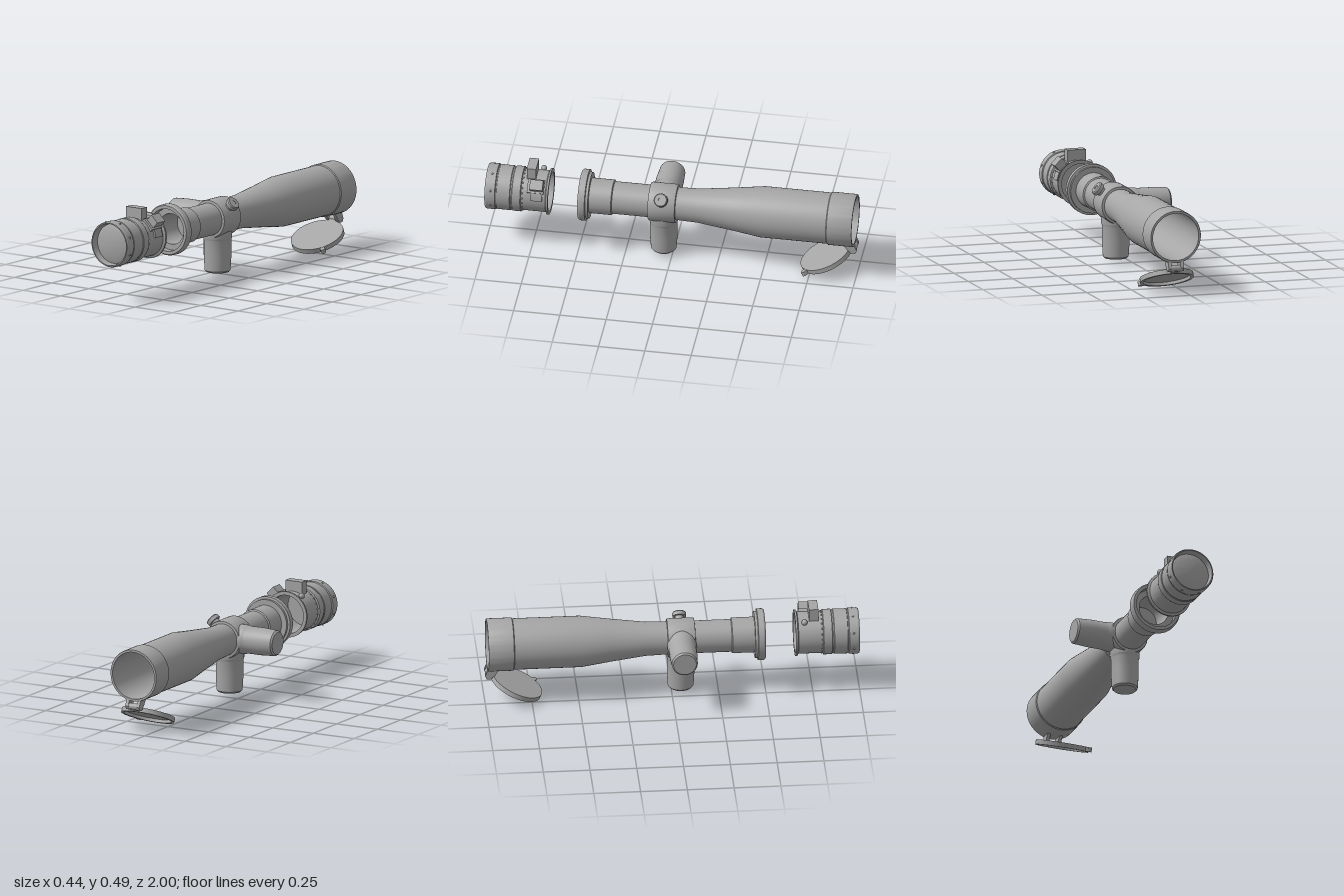
import * as THREE from 'three';
import { toCreasedNormals } from 'three/addons/utils/BufferGeometryUtils.js';

const grey = new THREE.MeshStandardMaterial({ color: 0xa6a6a6, side: THREE.DoubleSide });
grey.name = 'gunmetal grey';

// Turned part around y; profile is a list of [radius, height]
function turned(profile, sides = 48) {
  const pts = profile.map(([r, h]) => new THREE.Vector2(r, h));
  return toCreasedNormals(new THREE.LatheGeometry(pts, sides), 0.4);
}

export function createModel() {
  const model = new THREE.Group();
  model.name = 'sightingTelescope';

  // Everything is placed relative to the optical axis
  const axis = new THREE.Group();
  axis.name = 'opticalAssembly';
  axis.position.set(0.077, 0.32, 0);
  model.add(axis);

  const add = (name, geo, x = 0, y = 0, z = 0, parent = axis) => {
    const mesh = new THREE.Mesh(geo, grey);
    mesh.name = name;
    mesh.position.set(x, y, z);
    parent.add(mesh);
    return mesh;
  };
  const addBox = (name, w, h, d, x, y, z, parent) =>
    add(name, new THREE.BoxGeometry(w, h, d), x, y, z, parent);
  const alongZ = (profile) => turned(profile).rotateX(Math.PI / 2);

  // Hollow main tube with objective bell, taper and front flange
  add('mainTube', alongZ([
    [0.128, -0.985], [0.14, -0.985], [0.142, -0.98], [0.142, -0.85], [0.137, -0.846],
    [0.137, -0.486], [0.115, -0.33], [0.091, -0.14], [0.087, 0], [0.087, 0.318],
    [0.095, 0.322], [0.095, 0.442], [0.125, 0.442], [0.125, 0.456], [0.138, 0.458],
    [0.138, 0.488], [0.132, 0.497], [0.115, 0.497], [0.115, 0.455], [0.083, 0.455],
    [0.079, 0.3], [0.079, 0], [0.082, -0.14], [0.127, -0.486], [0.128, -0.985],
  ]));
  add('innerObjectiveLens', new THREE.CircleGeometry(0.108, 48), 0, 0, -0.3);
  add('innerEyeLens', new THREE.CircleGeometry(0.08, 48), 0, 0, 0.3);

  // Saddle sleeve around the tube
  add('turretSaddle', alongZ([
    [0.085, -0.025], [0.101, -0.023], [0.104, -0.015], [0.104, 0.115], [0.101, 0.123], [0.085, 0.125],
  ]), 0, 0, 0);

  // Two matching adjustment turrets: downwards and to the right
  const turret = [
    [0.078, 0.05], [0.078, 0.108], [0.074, 0.118], [0.074, 0.205], [0.069, 0.286],
    [0.061, 0.295], [0, 0.295],
  ];
  add('elevationTurret', turned(turret, 32), 0, 0, 0.05).rotation.z = Math.PI;
  add('windageTurret', turned(turret, 32), 0, 0, 0.05).rotation.z = Math.PI / 2;

  // Locking knob on the upper left of the saddle
  add('lockingKnob', turned([
    [0.024, 0.08], [0.024, 0.118], [0.037, 0.119], [0.037, 0.138], [0.032, 0.144],
    [0.012, 0.144], [0.012, 0.141], [0, 0.141],
  ], 24), 0, 0, 0.05).rotation.z = -0.88;

  // Detached eyepiece: hollow at the back, lens recessed at the front
  add('eyepieceHousing', alongZ([
    [0.105, 0.658], [0.125, 0.658], [0.125, 0.668], [0.112, 0.674], [0.112, 0.805],
    [0.121, 0.808], [0.121, 0.852], [0.117, 0.855], [0.117, 0.862], [0.12, 0.865],
    [0.12, 0.936], [0.117, 0.938], [0.117, 0.942], [0.123, 0.945], [0.123, 0.992],
    [0.119, 1], [0.113, 1], [0.11, 0.985], [0.108, 0.965], [0.104, 0.955],
    [0.104, 0.7], [0.105, 0.658],
  ]));
  add('eyepieceLens', alongZ([
    [0.108, 0.962], [0.095, 0.967], [0.07, 0.973], [0.035, 0.978], [0, 0.98],
  ]));
  add('eyepieceInnerLens', new THREE.CircleGeometry(0.105, 48), 0, 0, 0.86);

  // Small grip studs around the adjusting ring and the front rim
  [[24, 0.112, 0.8, 0.005], [8, 0.122, 0.968, 0.006]].forEach(([count, r, z, size], ring) => {
    for (let i = 0; i < count; i++) {
      const a = ((i + 0.5) / count) * Math.PI * 2;
      add(ring ? 'rimScrew' : 'gripStud', new THREE.SphereGeometry(size, 8, 6),
        Math.cos(a) * r, Math.sin(a) * r, z);
    }
  });

  // Mounting block on top and angled block beside it
  addBox('topBlock', 0.102, 0.07, 0.05, -0.003, 0.133, 0.757);
  const side = new THREE.Group();
  side.name = 'angledMount';
  side.rotation.z = -Math.PI / 4;
  axis.add(side);
  addBox('angledBlock', 0.056, 0.062, 0.07, 0, 0.132, 0.72, side);
  addBox('angledFoot', 0.075, 0.02, 0.09, 0, 0.112, 0.727, side);

  // Curved index plate wrapping down from the angled block
  const arc = new THREE.Shape();
  arc.absarc(0, 0, 0.122, 0.1, 0.75, false);
  arc.absarc(0, 0, 0.108, 0.75, 0.1, true);
  add('indexPlate', new THREE.ExtrudeGeometry(arc, { depth: 0.06, bevelEnabled: false, curveSegments: 10 }),
    0, 0, 0.69);
  add('releaseButton', new THREE.SphereGeometry(0.016, 16, 12), -0.067, 0.1, 0.707);

  // Flip-open lens cover hanging below the objective
  const cover = new THREE.Group();
  cover.name = 'lensCover';
  cover.position.set(0, -0.247, -0.827);
  cover.rotation.x = 0.42;
  axis.add(cover);
  add('coverDisc', turned([
    [0, 0.004], [0.128, 0.004], [0.128, -0.013], [0.144, -0.013], [0.144, 0.013], [0, 0.013],
  ]), 0, 0, 0, cover);
  const tab = new THREE.Group();
  tab.name = 'coverTab';
  tab.rotation.y = 0.8;
  cover.add(tab);
  addBox('tabNeck', 0.026, 0.024, 0.025, 0, 0, 0.148, tab);
  add('tabTip', new THREE.CylinderGeometry(0.013, 0.013, 0.024, 16), 0, 0, 0.16, tab);
  addBox('coverArm', 0.045, 0.022, 0.04, 0, 0.002, -0.152, cover);

  // Hinge: barrel with two lugs fixed to the bell
  const barrel = new THREE.CylinderGeometry(0.017, 0.017, 0.086, 20).rotateZ(Math.PI / 2);
  add('hingeBarrel', barrel, 0, -0.17, -0.978);
  for (const s of [-1, 1]) {
    const lug = new THREE.Shape();
    lug.moveTo(-0.925, -0.135);
    lug.lineTo(-0.945, -0.165);
    lug.lineTo(-0.968, -0.188);
    lug.lineTo(-0.99, -0.186);
    lug.lineTo(-0.998, -0.168);
    lug.lineTo(-0.984, -0.135);
    const geo = new THREE.ExtrudeGeometry(lug, { depth: 0.018, bevelEnabled: false });
    geo.rotateY(-Math.PI / 2);
    add('hingeLug', geo, s * 0.034 + 0.009, 0, 0);
  }

  return model;
}
